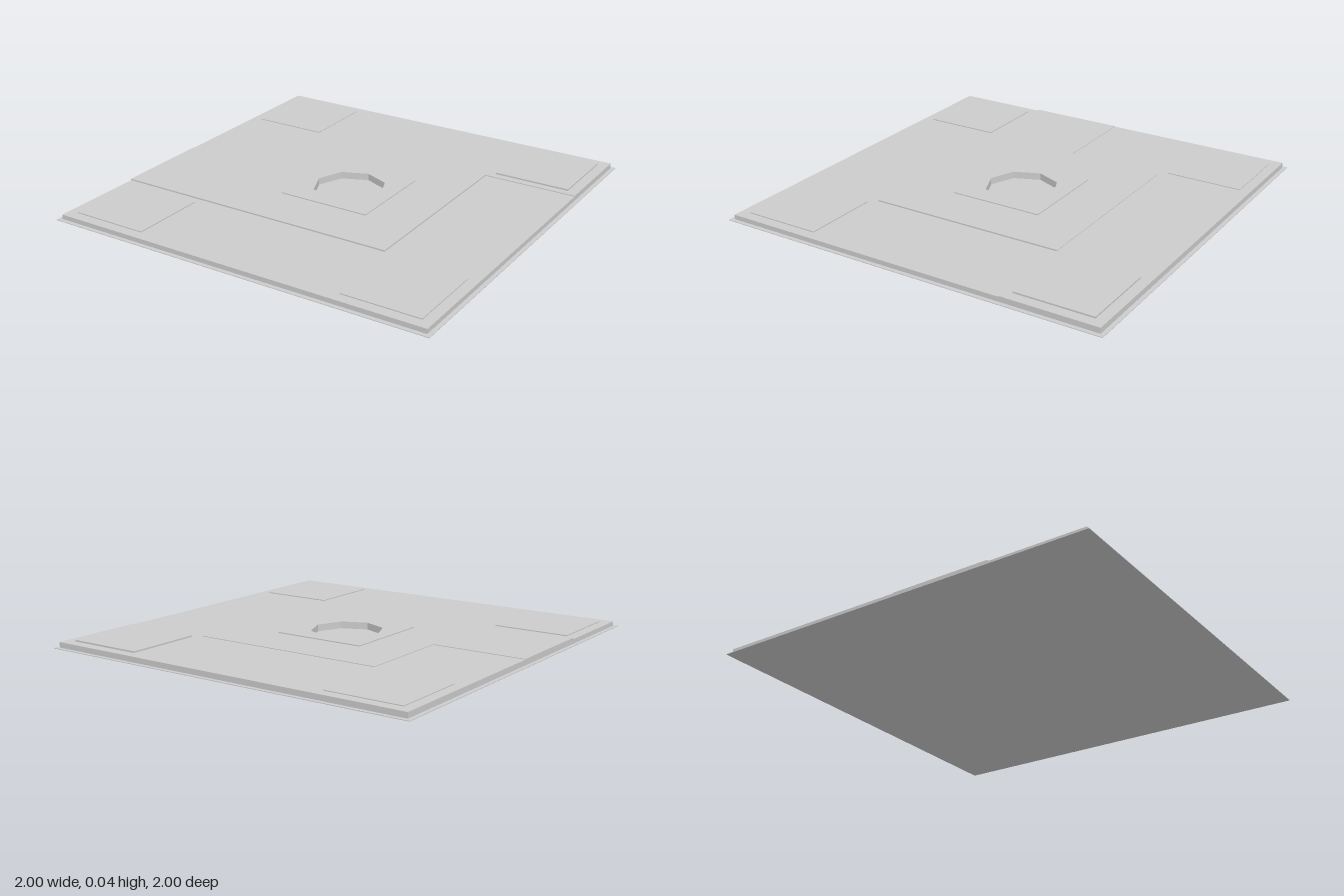
import * as THREE from 'three';

const material = new THREE.MeshStandardMaterial({ color: 0xcccccc, flatShading: true });

// Extrudes an outline of [x, z] points upward from y0 to y1, with optional holes
function slab(name, points, y0, y1, hole) {
  const toVec = ([x, z]) => new THREE.Vector2(x, -z);
  const shape = new THREE.Shape(points.map(toVec));
  if (hole) shape.holes.push(new THREE.Path(hole.map(toVec)));
  const geometry = new THREE.ExtrudeGeometry(shape, { depth: y1 - y0, bevelEnabled: false });
  geometry.rotateX(-Math.PI / 2);
  const mesh = new THREE.Mesh(geometry, material);
  mesh.position.y = y0;
  mesh.name = name;
  return mesh;
}

const rect = (x, z, half) => [
  [x - half, z - half], [x - half, z + half], [x + half, z + half], [x + half, z - half],
];

export function createModel() {
  const group = new THREE.Group();
  const E = 0.98;
  const floor = 0.003;
  const low = 0.026, back = 0.03, mid = 0.033, top = 0.038;

  // Octagonal well in the middle
  const octagon = Array.from({ length: 8 }, (_, i) => {
    const a = (i * Math.PI) / 4;
    return [0.18 * Math.cos(a), 0.18 * Math.sin(a)];
  });

  // Thin base sheet, closing the well from below
  group.add(slab('baseSheet', rect(0, 0, 1), 0, floor));

  // Three interlocking terraces at slightly different heights
  group.add(slab('frontTerrace',
    [[-E, 0.5], [-E, E], [E, E], [E, -0.5], [0.5, -0.5], [0.5, 0.5]], floor, low));
  group.add(slab('backTerrace',
    [[-E, -E], [-E, 0], [-0.5, 0], [-0.5, -0.5], [E, -0.5], [E, -E]], floor, back));
  group.add(slab('middleTerrace',
    [[-E, 0], [-E, 0.5], [0.5, 0.5], [0.5, -0.5], [-0.5, -0.5], [-0.5, 0]], floor, mid, octagon));

  // Raised square around the well
  group.add(slab('centrePad', rect(0, 0, 0.24), mid, top, octagon));

  // Corner pads resting on their terraces
  const pads = [
    ['frontLeftPad', 1, 1, low, 0.031],
    ['frontRightPad', -1, 1, low, 0.031],
    ['backLeftPad', 1, -1, back, top],
    ['backRightPad', -1, -1, back, 0.034],
  ];
  for (const [name, sx, sz, y0, y1] of pads) {
    group.add(slab(name, rect(sx * 0.733, sz * 0.733, 0.195), y0, y1));
  }
  return group;
}
